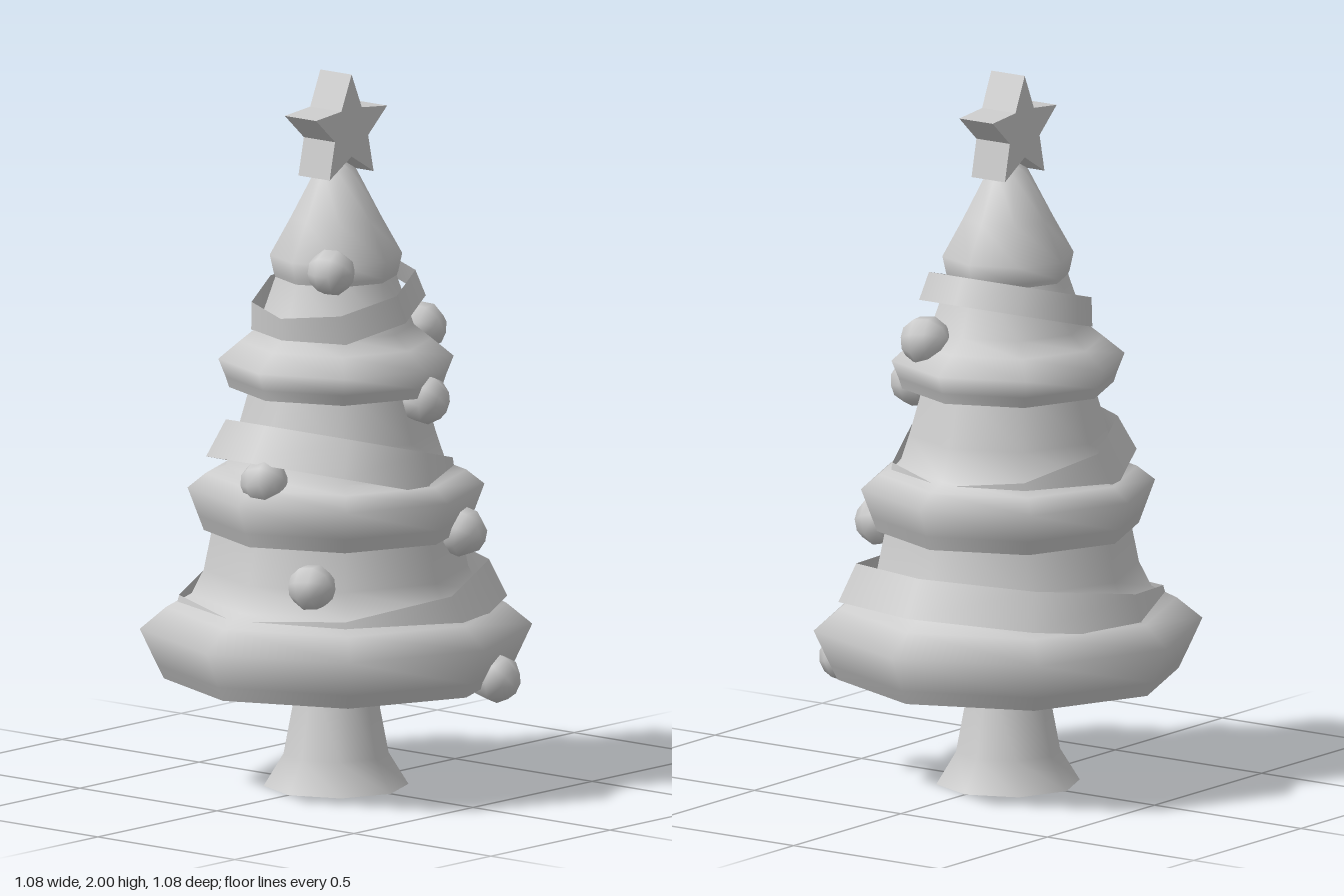
import * as THREE from 'three';

const SIDES = 8;
const material = new THREE.MeshStandardMaterial({ color: 0xcccccc });
const bandMaterial = new THREE.MeshStandardMaterial({ color: 0xcccccc, side: THREE.DoubleSide });

function addMesh(parent, name, geometry, mat = material) {
  const mesh = new THREE.Mesh(geometry, mat);
  mesh.name = name;
  parent.add(mesh);
  return mesh;
}

// Eight-sided turned body, smooth sides with a flat, sharp-edged underside
function addTurned(parent, name, profile) {
  const group = new THREE.Group();
  group.name = name;
  const points = profile.map(([r, y]) => new THREE.Vector2(r, y));
  addMesh(group, name + 'Sides', new THREE.LatheGeometry(points, SIDES));
  const base = addMesh(group, name + 'Underside', new THREE.CircleGeometry(profile[0][0], SIDES));
  base.rotation.x = Math.PI / 2;
  base.position.y = profile[0][1];
  parent.add(group);
}

export function createModel() {
  const tree = new THREE.Group();
  tree.name = 'decoratedTree';

  addTurned(tree, 'trunk', [[0.2, 0], [0.145, 0.09], [0.1, 0.33]]);

  // Branch tiers, bottom to top: [radius, height]
  const tiers = [
    [[0.475, 0.305], [0.495, 0.345], [0.542, 0.445], [0.47, 0.505], [0.4, 0.54], [0.365, 0.61], [0.335, 0.76]],
    [[0.365, 0.72], [0.38, 0.76], [0.41, 0.84], [0.36, 0.88], [0.305, 0.9], [0.275, 0.99], [0.23, 1.15]],
    [[0.295, 1.12], [0.305, 1.15], [0.325, 1.2], [0.265, 1.25], [0.215, 1.29], [0.16, 1.45]],
    [[0.163, 1.415], [0.172, 1.44], [0.183, 1.49], [0.125, 1.595], [0.055, 1.73], [0, 1.765]],
  ];
  tiers.forEach((profile, i) => addTurned(tree, 'branchTier' + (i + 1), profile));

  // Tilted open garland bands: [top radius, bottom radius, height, centre y, tilt]
  const bands = [
    [0.43, 0.47, 0.11, 0.53, 0.148],
    [0.318, 0.355, 0.11, 0.917, -0.255],
    [0.23, 0.245, 0.08, 1.363, 0.265],
  ];
  bands.forEach(([top, bottom, height, y, tilt], i) => {
    const band = addMesh(tree, 'garland' + (i + 1),
      new THREE.CylinderGeometry(top, bottom, height, SIDES, 1, true), bandMaterial);
    band.position.y = y;
    band.rotation.z = tilt;
  });

  // Baubles, with their poles facing forward
  const baubleGeometry = new THREE.SphereGeometry(0.071, 8, 5).rotateX(Math.PI / 2 + 0.25);
  const baubles = [
    [0.175, 0.33, 0.43], [0.165, 0.727, 0.315], [0.063, 1.107, 0.268], [0.22, 1.27, 0.12],
    [-0.135, 1.47, 0.1], [-0.32, 0.625, 0.19], [-0.325, 0.9, 0.02],
  ];
  baubles.forEach((p, i) => {
    const bauble = addMesh(tree, 'bauble' + (i + 1), baubleGeometry);
    bauble.position.set(...p);
    bauble.rotation.z = i * 0.4;
    if (p[0] < 0) bauble.scale.setScalar(0.93);
  });

  // Five-pointed star on top
  const star = new THREE.Shape();
  for (let i = 0; i < 10; i++) {
    const r = i % 2 ? 0.073 : 0.157;
    const a = Math.PI / 2 + i * Math.PI / 5;
    star[i ? 'lineTo' : 'moveTo'](r * Math.cos(a), r * Math.sin(a));
  }
  star.closePath();
  const starGeometry = new THREE.ExtrudeGeometry(star, { depth: 0.114, bevelEnabled: false });
  starGeometry.translate(0, 1.843, -0.057);
  addMesh(tree, 'star', starGeometry);

  return tree;
}
